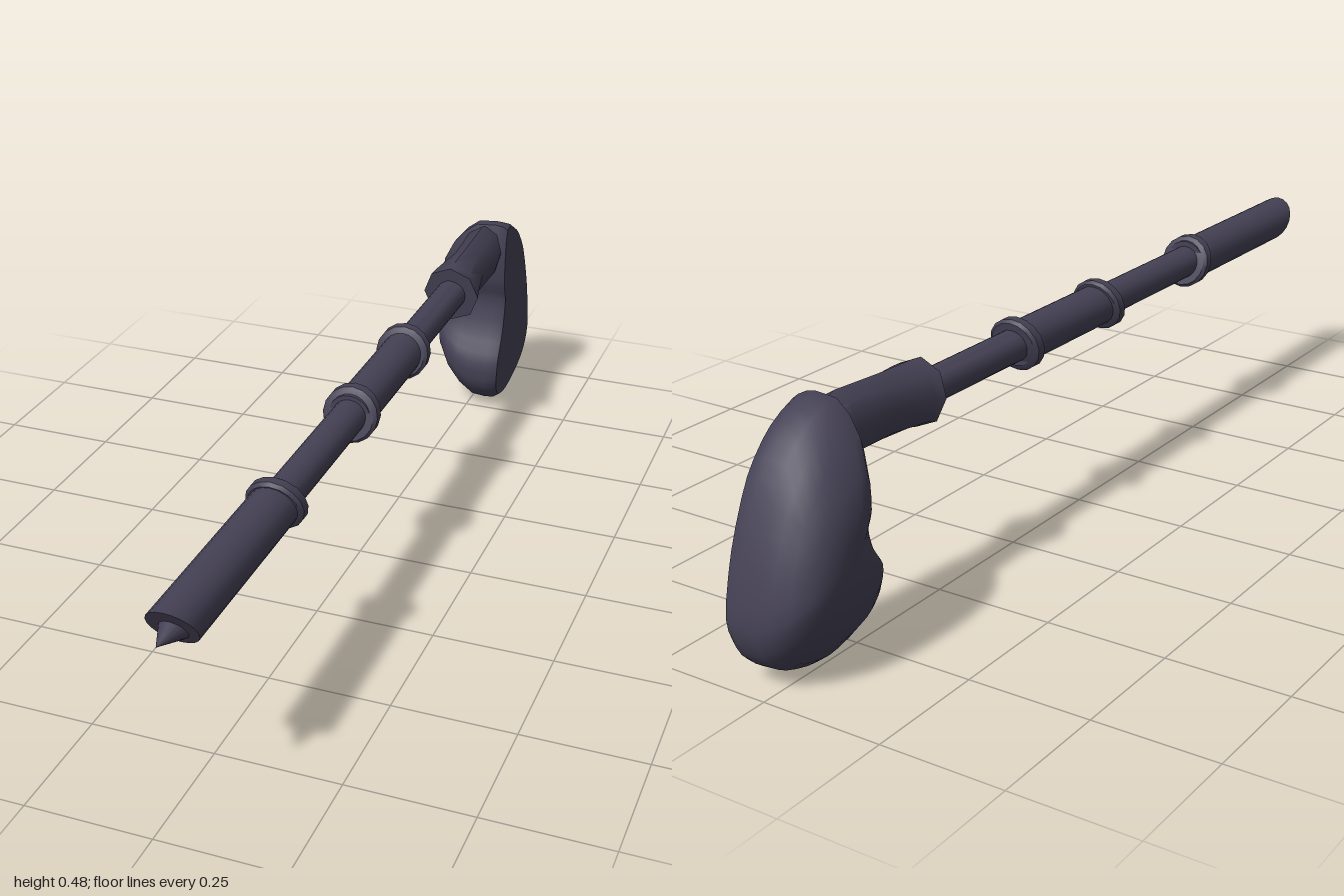
import * as THREE from 'three';
import { toCreasedNormals } from 'three/addons/utils/BufferGeometryUtils.js';

const material = new THREE.MeshStandardMaterial({ color: 0x454155 });
const AXIS_X = 0.03, AXIS_Y = 0.405;

// Skin a list of equal-length rings of Vector3 and close both ends.
function loft(rings, crease) {
  const out = [];
  const push = (...pts) => pts.forEach(p => out.push(p.x, p.y, p.z));
  const centre = ring => ring.reduce((s, p) => s.add(p), new THREE.Vector3()).divideScalar(ring.length);
  const n = rings[0].length, last = rings[rings.length - 1];
  const c0 = centre(rings[0]), c1 = centre(last);
  for (let j = 0; j < n; j++) {
    const k = (j + 1) % n;
    for (let i = 0; i < rings.length - 1; i++) {
      const a = rings[i][j], b = rings[i][k], c = rings[i + 1][k], d = rings[i + 1][j];
      push(a, d, b, b, d, c);
    }
    push(c0, rings[0][j], rings[0][k]);
    push(c1, last[k], last[j]);
  }
  const g = new THREE.BufferGeometry();
  g.setAttribute('position', new THREE.Float32BufferAttribute(out, 3));
  return toCreasedNormals(g, crease);
}

// Ellipse around the shaft axis; slant moves its top forward and its bottom back.
function ellipse(sides, z, rx, ry = rx, slant = 0, cy = AXIS_Y) {
  return Array.from({ length: sides }, (_, j) => {
    const t = j / sides * Math.PI * 2;
    return new THREE.Vector3(AXIS_X + rx * Math.cos(t), cy + ry * Math.sin(t), z + slant * Math.sin(t));
  });
}

export function createModel() {
  const group = new THREE.Group();
  const add = (name, geometry) => {
    const mesh = new THREE.Mesh(geometry, material);
    mesh.name = name;
    group.add(mesh);
    return mesh;
  };

  // Shaft sections of alternating thickness: front z, back z, radius, front slant
  [
    [0.94, 0.5, 0.047, 0.03],
    [0.52, 0.11, 0.035, 0],
    [0.14, -0.19, 0.044, 0],
    [-0.17, -0.56, 0.034, 0],
  ].forEach(([z0, z1, r, slant], i) =>
    add('shaftSection' + (i + 1), loft([ellipse(20, z0, r, r, slant), ellipse(20, z1, r)], 0.7)));

  // Spike at the front end
  const spike = add('spike', new THREE.ConeGeometry(0.036, 0.085, 16));
  spike.rotation.x = Math.PI / 2;
  spike.position.set(AXIS_X, AXIS_Y, 0.9575);

  // Tilted bands between the sections: centre z, slant
  [[0.508, 0.016], [0.127, -0.013], [-0.181, -0.011]].forEach(([z, slant], i) =>
    add('band' + (i + 1), loft(
      [[0.016, 0.051], [0.01, 0.058], [-0.01, 0.058], [-0.016, 0.051]]
        .map(([dz, r]) => ellipse(16, z + dz, r, r * 0.97, slant)), 0.7)));

  // Eight-sided collar, waisted from side to side where it meets the head
  add('collar', loft([
    ellipse(8, -0.505, 0.064, 0.066, 0.01),
    ellipse(8, -0.53, 0.058, 0.065, 0.006, 0.409),
    ellipse(8, -0.62, 0.04, 0.064, 0, 0.413),
    ellipse(8, -0.74, 0.045, 0.067, 0, 0.417),
    ellipse(8, -0.82, 0.04, 0.045, 0, 0.41),
  ], 0.9));

  // Hooked head: side outline as (z, y)
  const outline = [
    [-0.75, 0.35], [-0.767, 0.291], [-0.751, 0.211], [-0.716, 0.136], [-0.722, 0.072],
    [-0.767, 0.024], [-0.848, 0.003], [-0.928, 0.024], [-0.976, 0.06], [-0.997, 0.13],
    [-0.97, 0.254], [-0.917, 0.377], [-0.848, 0.452], [-0.76, 0.483],
  ];
  const curve = new THREE.CatmullRomCurve3(
    outline.map(([z, y]) => new THREE.Vector3(0, y, z)), true, 'catmullrom', 0.4);
  const points = curve.getPoints(42).slice(0, 42);
  const cz = -0.86, cy = 0.243;
  // Flat on the left, domed on the right: x, height scale, depth scale
  const rings = [
    [0.084, 0.955, 0.95], [0.074, 0.99, 0.985], [0.055, 1, 1], [0.01, 0.985, 1],
    [-0.02, 0.89, 0.97], [-0.05, 0.74, 0.88], [-0.078, 0.52, 0.68], [-0.091, 0.33, 0.42], [-0.095, 0.15, 0.18],
  ].map(([x, sy, sz]) => points.map(p => {
    const y = cy + (p.y - cy) * sy;
    // The flat face tucks in toward the bottom
    const tuck = x > 0.02 ? 0.016 * Math.max(0, 1 - y / 0.15) ** 2 : 0;
    return new THREE.Vector3(x - tuck, y, cz + (p.z - cz) * sz);
  }));
  add('head', loft(rings, 0.75));

  return group;
}
